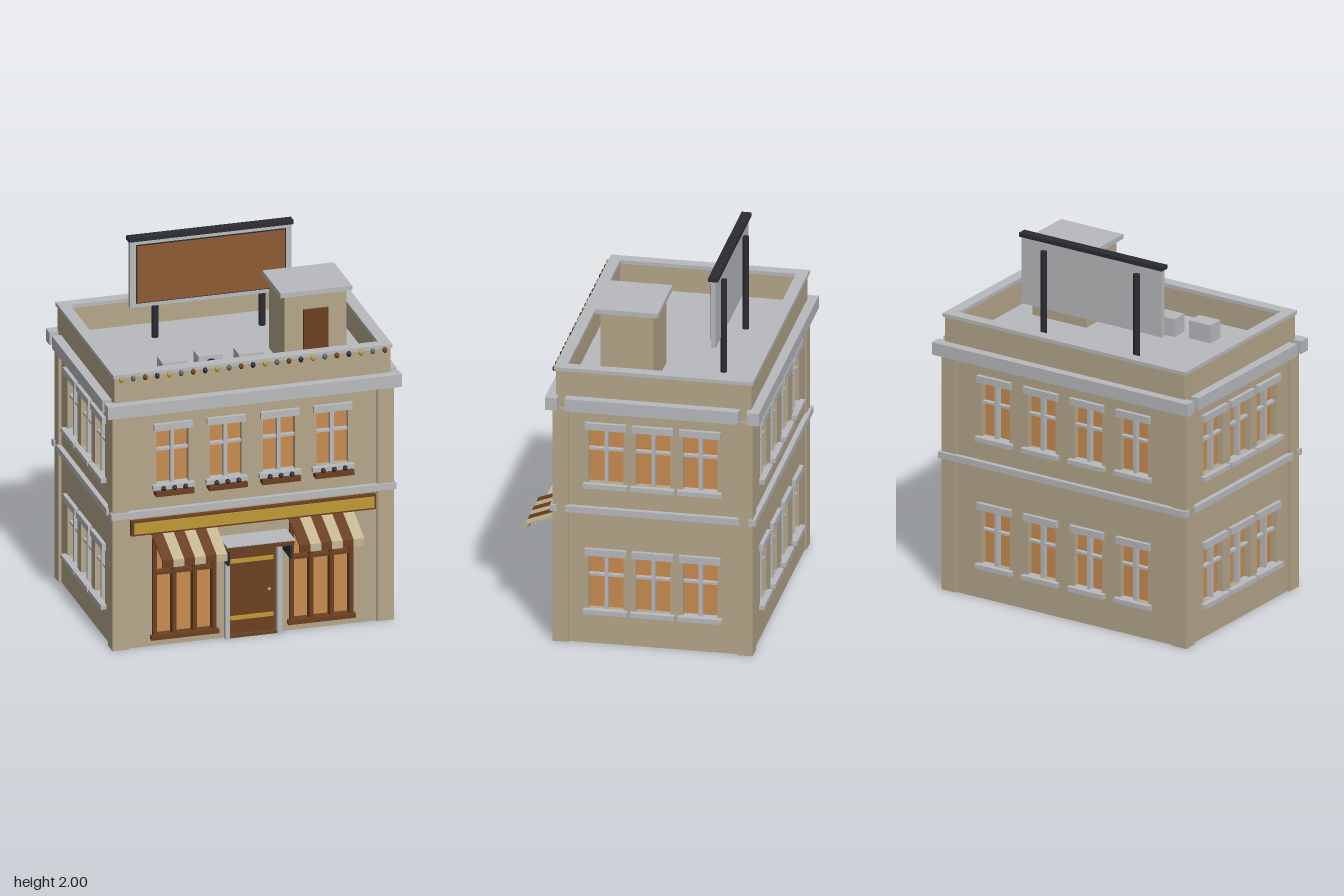
import * as THREE from 'three';

const mat = (name, color) => {
  const m = new THREE.MeshStandardMaterial({ color });
  m.name = name;
  return m;
};

export function createModel() {
  const M = {
    wall: mat('tan wall', 0xb5a68a),
    trim: mat('grey trim', 0xb8babd),
    glass: mat('amber glass', 0xc98b50),
    brown: mat('brown wood', 0x6b4022),
    gold: mat('gold', 0xbf9935),
    dark: mat('dark metal', 0x2b2b33),
    panel: mat('billboard brown', 0x8f5b33),
    cream: mat('cream canvas', 0xc4b592),
    slate: mat('slate bulb', 0x5c6672),
  };
  const root = new THREE.Group();
  root.name = 'shopBuilding';

  const add = (parent, name, geo, m, x = 0, y = 0, z = 0) => {
    const mesh = new THREE.Mesh(geo, m);
    mesh.name = name;
    mesh.position.set(x, y, z);
    parent.add(mesh);
    return mesh;
  };
  // Box given by its limits on each axis
  const box = (parent, name, m, x0, x1, y0, y1, z0, z1) =>
    add(parent, name, new THREE.BoxGeometry(x1 - x0, y1 - y0, z1 - z0), m,
      (x0 + x1) / 2, (y0 + y1) / 2, (z0 + z1) / 2);
  const group = (parent, name) => {
    const g = new THREE.Group();
    g.name = name;
    parent.add(g);
    return g;
  };

  const T = 0.06, CZ = -0.075, ROOF = 1.405;
  const rectHole = (x0, x1, y0, y1) => new THREE.Path([
    [x0, y0], [x0, y1], [x1, y1], [x1, y0]].map(p => new THREE.Vector2(...p)));

  // Sash window on a facade whose outer face is local z = 0
  const sashWindow = (f, x, y, w) => {
    const g = group(f, 'window');
    g.position.set(x, y, 0);
    const h = 0.307, a = w / 2;
    box(g, 'pane', M.glass, -a, a, 0, h, -0.05, -0.035);
    box(g, 'verticalBar', M.trim, -0.01, 0.01, 0, h, -0.035, -0.005);
    box(g, 'crossBar', M.trim, -a, a, 0.183, 0.196, -0.035, -0.01);
    box(g, 'lintel', M.trim, -a - 0.018, a + 0.018, h, h + 0.038, -0.01, 0.022);
    box(g, 'sill', M.trim, -a - 0.026, a + 0.026, -0.025, 0, -0.03, 0.03);
    return g;
  };

  // Facade: pierced wall, windows, belt course and cornice
  const facade = (name, half, trimHalf, beltHalf, xs, rows, w, shop) => {
    const f = group(root, name);
    const pts = [[-half, 0]];
    if (shop) pts.push([-0.13, 0], [-0.13, 0.5], [0.13, 0.5], [0.13, 0]);
    pts.push([half, 0], [half, 1.4], [-half, 1.4]);
    const s = new THREE.Shape(pts.map(p => new THREE.Vector2(...p)));
    for (const y of rows) for (const x of xs) {
      s.holes.push(rectHole(x - w / 2, x + w / 2, y, y + 0.307));
      sashWindow(f, x, y, w);
    }
    if (shop) for (const c of [-0.375, 0.375])
      s.holes.push(rectHole(c - 0.165, c + 0.165, 0.06, 0.6));
    add(f, 'wall', new THREE.ExtrudeGeometry(s, { depth: T, bevelEnabled: false }), M.wall, 0, 0, -T);
    box(f, 'beltCourse', M.trim, -beltHalf, beltHalf, 0.745, 0.78, -0.01, 0.027);
    box(f, 'cornice', M.trim, -trimHalf, trimHalf, 1.33, 1.4, -0.015, 0.05);
    return f;
  };
  const xs4 = [-0.437, -0.146, 0.146, 0.437], xs3 = [-0.2525, 0, 0.2525];
  const LOW = 0.197, HIGH = 0.915;
  const front = facade('frontFacade', 0.755, 0.805, 0.78, xs4, [HIGH], 0.175, true);
  front.position.z = 0.445;
  const back = facade('backFacade', 0.755, 0.805, 0.78, xs4, [LOW, HIGH], 0.175, false);
  back.position.z = -0.6;
  back.rotation.y = Math.PI;
  for (const s of [1, -1]) {
    const side = facade(s > 0 ? 'leftFacade' : 'rightFacade', 0.465, 0.465, 0.465, xs3, [LOW, HIGH], 0.185, false);
    side.position.set(s * 0.755, 0, CZ);
    side.rotation.y = s * Math.PI / 2;
  }

  // Corner pilasters
  for (const s of [1, -1]) for (const [z0, z1] of [[0.375, 0.46], [-0.61, -0.53]])
    box(root, 'cornerPilaster', M.wall, s > 0 ? 0.68 : -0.77, s > 0 ? 0.77 : -0.68, 0, 1.33, z0, z1);

  // Flower boxes
  for (const x of xs4) {
    box(front, 'flowerBox', M.brown, x - 0.105, x + 0.105, 0.862, 0.89, 0, 0.053);
    for (const d of [-0.06, 0, 0.06])
      add(front, 'plant', new THREE.SphereGeometry(0.014, 8, 6), M.dark, x + d, 0.9, 0.038);
  }

  // Shop windows and striped awnings
  for (const c of [-0.375, 0.375]) {
    const g = group(front, 'shopWindow');
    g.position.x = c;
    box(g, 'pane', M.glass, -0.165, 0.165, 0.06, 0.6, -0.045, -0.03);
    for (const x of [-0.163, -0.056, 0.056, 0.163])
      box(g, 'mullion', M.brown, x - 0.011, x + 0.011, 0.06, 0.6, -0.03, 0.012);
    box(g, 'transom', M.brown, -0.165, 0.165, 0.403, 0.42, -0.03, 0.01);
    box(g, 'head', M.brown, -0.174, 0.174, 0.59, 0.61, -0.03, 0.012);
    box(g, 'sill', M.brown, -0.185, 0.185, 0.04, 0.063, -0.03, 0.028);
    const section = new THREE.Shape([[0, 0.64], [0.205, 0.562], [0.205, 0.52], [0.197, 0.52],
      [0.197, 0.556], [0, 0.63]].map(p => new THREE.Vector2(...p)));
    const w = 0.355 / 6;
    for (let i = 0; i < 6; i++) {
      const geo = new THREE.ExtrudeGeometry(section, { depth: w, bevelEnabled: false });
      geo.rotateY(-Math.PI / 2); // section depth becomes +z
      add(g, 'awningStripe', geo, i % 2 ? M.cream : M.brown, -0.1775 + (i + 1) * w, 0, 0);
    }
  }

  // Sign board
  box(front, 'signBoard', M.brown, -0.67, 0.67, 0.643, 0.727, 0, 0.026);
  box(front, 'signPanel', M.gold, -0.655, 0.66, 0.654, 0.716, 0.026, 0.032);

  // Entrance door, frame and canopy
  const door = group(front, 'entrance');
  box(door, 'door', M.brown, -0.13, 0.13, 0.005, 0.5, -0.045, -0.015);
  box(door, 'doorBacking', M.glass, -0.13, 0.13, 0.005, 0.5, -0.053, -0.046);
  box(door, 'threshold', M.brown, -0.13, 0.13, 0, 0.012, -0.05, 0.02);
  for (const y of [0.1, 0.422]) box(door, 'doorBar', M.gold, -0.118, 0.118, y - 0.011, y + 0.011, -0.015, -0.007);
  add(door, 'doorKnob', new THREE.SphereGeometry(0.01, 10, 8), M.gold, 0.093, 0.245, -0.005);
  for (const s of [-1, 1]) {
    box(door, 'doorJamb', M.trim, s * 0.143 - 0.013, s * 0.143 + 0.013, 0, 0.505, -0.05, 0.028);
    box(door, 'canopyBracket', M.dark, s * 0.172 - 0.007, s * 0.172 + 0.007, 0.465, 0.55, 0, 0.14);
  }
  box(door, 'doorHead', M.trim, -0.156, 0.156, 0.5, 0.536, -0.05, 0.028);
  box(door, 'canopy', M.brown, -0.184, 0.184, 0.55, 0.573, 0, 0.16);
  box(door, 'canopyTop', M.trim, -0.186, 0.186, 0.573, 0.579, 0, 0.16);

  // Roof deck, parapet and its coping
  box(root, 'roofDeck', M.trim, -0.74, 0.74, 1.36, ROOF, -0.585, 0.43);
  const ring = (name, m, x, z0, z1, t, y, h) => {
    const s = new THREE.Shape([[-x, -z1], [x, -z1], [x, -z0], [-x, -z0]].map(p => new THREE.Vector2(...p)));
    s.holes.push(rectHole(-x + t, x - t, -z1 + t, -z0 - t));
    const geo = new THREE.ExtrudeGeometry(s, { depth: h, bevelEnabled: false });
    geo.rotateX(-Math.PI / 2);
    add(root, name, geo, m, 0, y, 0);
  };
  ring('parapet', M.wall, 0.755, -0.6, 0.445, 0.05, 1.4, 0.14);
  ring('coping', M.trim, 0.764, -0.61, 0.453, 0.062, 1.54, 0.02);

  // String of bulbs
  const bulb = new THREE.SphereGeometry(0.013, 10, 8).scale(1, 1.25, 1);
  const bulbColours = [M.gold, M.slate, M.brown, M.dark];
  for (let i = 0; i < 23; i++)
    add(root, 'bulb', bulb, bulbColours[i % 4], -0.722 + i * 0.0656, 1.535, 0.458);

  // Billboard
  const board = group(root, 'billboard');
  box(board, 'board', M.trim, -0.442, 0.442, 1.6, 1.98, -0.347, -0.322);
  box(board, 'boardBorder', M.dark, -0.41, 0.41, 1.623, 1.955, -0.322, -0.317);
  box(board, 'boardPanel', M.panel, -0.404, 0.404, 1.629, 1.949, -0.32, -0.311);
  box(board, 'topRail', M.dark, -0.452, 0.45, 1.978, 2, -0.36, -0.308);
  for (const x of [-0.293, 0.293])
    add(board, 'post', new THREE.CylinderGeometry(0.018, 0.018, 0.53, 10), M.dark, x, 1.665, -0.361);

  // Stair house
  const house = group(root, 'stairHouse');
  box(house, 'walls', M.wall, 0.236, 0.576, 1.4, 1.812, -0.042, 0.243);
  box(house, 'cap', M.trim, 0.208, 0.6, 1.812, 1.838, -0.07, 0.266);
  box(house, 'doorway', M.brown, 0.338, 0.473, ROOF, 1.725, 0.243, 0.256);

  // Air conditioners
  for (const [x, z] of [[-0.362, 0.183], [-0.155, 0.152], [0.057, 0.183]]) {
    const g = group(root, 'airConditioner');
    g.position.set(x, ROOF, z);
    box(g, 'casing', M.trim, -0.067, 0.067, 0, 0.1, -0.048, 0.048);
    add(g, 'fan', new THREE.CylinderGeometry(0.033, 0.033, 0.008, 16).rotateX(Math.PI / 2), M.dark, 0, 0.05, 0.051);
  }
  return root;
}
